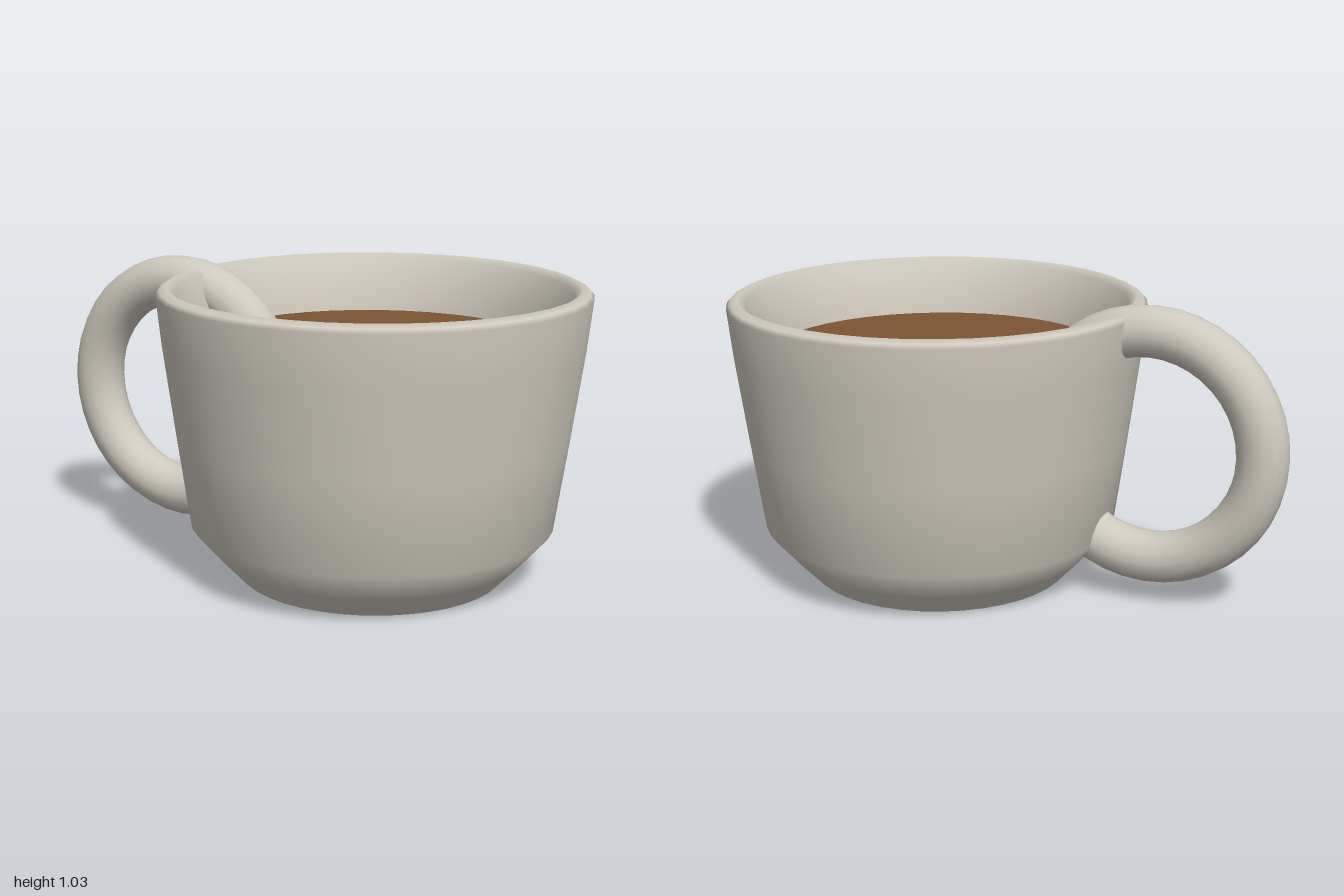
import * as THREE from 'three';

const CUP_X = 0.27; // the bowl sits off centre to leave room for the handle
const SEGMENTS = 40;

export function createModel() {
  const model = new THREE.Group();
  model.name = 'cupOfCoffee';

  const ceramic = new THREE.MeshStandardMaterial({ color: 0xcfcabf });
  ceramic.name = 'ceramic';
  const coffeeBrown = new THREE.MeshStandardMaterial({ color: 0x7d5533 });
  coffeeBrown.name = 'coffeeBrown';

  const add = (name, geometry, material, x, y) => {
    const mesh = new THREE.Mesh(geometry, material);
    mesh.name = name;
    mesh.position.set(x, y, 0);
    model.add(mesh);
    return mesh;
  };

  // Bowl: up the outside, over the rim and down the inside
  const profile = [
    [0.455, 0], [0.53, 0.08], [0.622, 0.185], [0.667, 0.5], [0.708, 0.8],
    [0.727, 0.975], [0.715, 0.988], [0.69, 1.0], [0.66, 0.98],
    [0.635, 0.9], [0.59, 0.78], [0.53, 0.25], [0.4, 0.1], [0, 0.1],
  ].map(([r, y]) => new THREE.Vector2(r, y));
  add('bowl', new THREE.LatheGeometry(profile, SEGMENTS), ceramic, CUP_X, 0);

  // Flat underside
  const base = add('base', new THREE.CircleGeometry(0.455, SEGMENTS), ceramic, CUP_X, 0);
  base.rotation.x = Math.PI / 2;

  // Coffee surface
  const coffee = add('coffee', new THREE.CircleGeometry(0.592, SEGMENTS), coffeeBrown, CUP_X, 0.8);
  coffee.rotation.x = -Math.PI / 2;

  // Ring handle, passing through the wall into the coffee
  add('handle', new THREE.TorusGeometry(0.393, 0.088, 16, 40), ceramic, -0.519, 0.548);

  return model;
}
